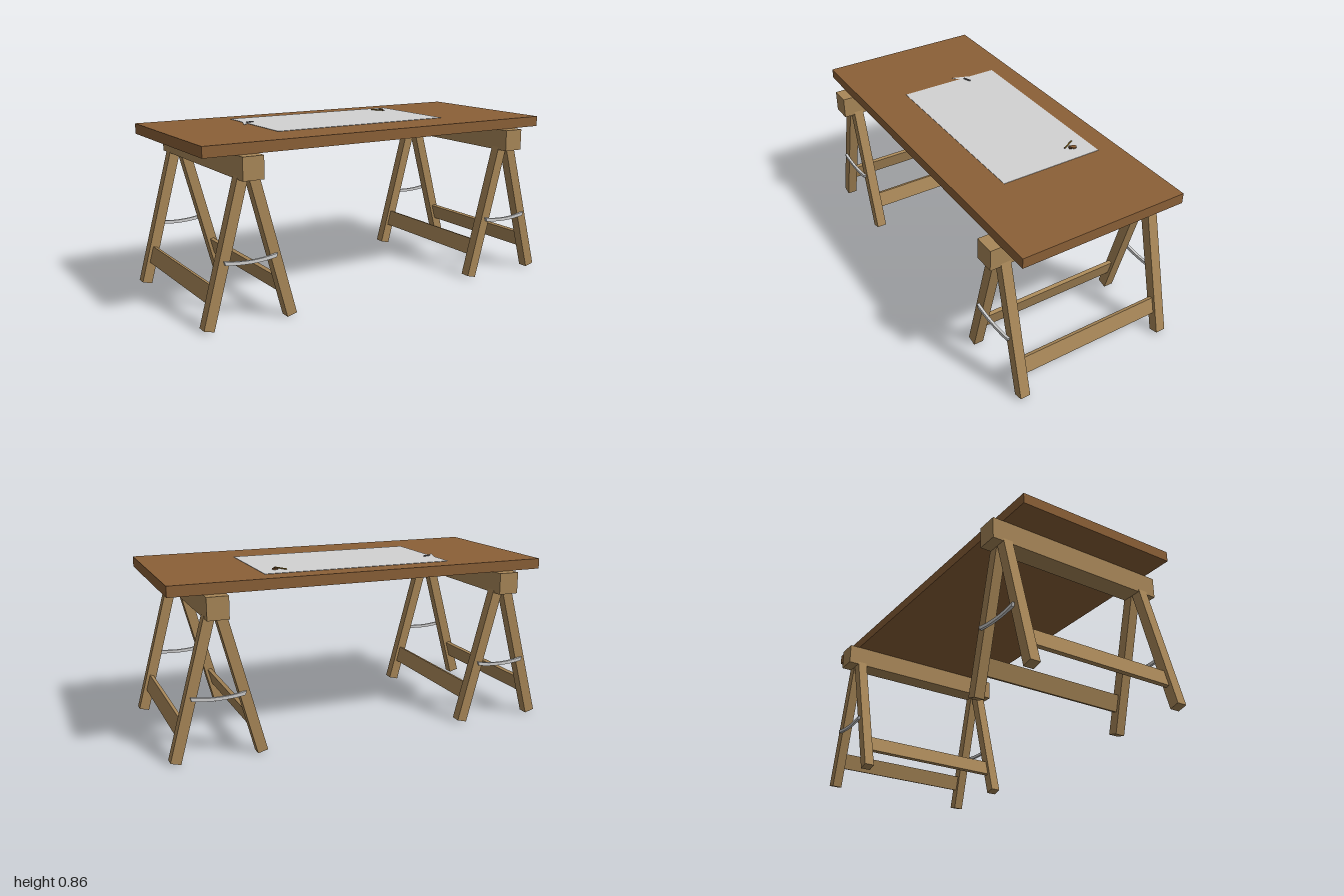
import * as THREE from 'three';

const mat = (name, color) => Object.assign(new THREE.MeshStandardMaterial({ color }), { name });

export function createModel() {
  const M = {
    top: mat('brown wood', 0x8b6037),
    pine: mat('pine wood', 0xa88758),
    paper: mat('paper', 0xd2d2d2),
    metal: mat('light metal', 0xcfcfcf),
    steel: mat('dark grey', 0x6a6a6c),
    pencil: mat('pencil yellow', 0x98762a),
    dark: mat('dark brown', 0x4a3220),
  };
  const model = new THREE.Group();
  model.name = 'trestleTable';

  const add = (parent, name, geometry, material, x = 0, y = 0, z = 0) => {
    const mesh = new THREE.Mesh(geometry, material);
    mesh.name = name;
    mesh.position.set(x, y, z);
    parent.add(mesh);
    return mesh;
  };
  const box = (parent, name, size, material, x, y, z) =>
    add(parent, name, new THREE.BoxGeometry(...size), material, x, y, z);

  // Table top
  box(model, 'tableTop', [1.96, 0.053, 0.874], M.top, 0, 0.8235, 0);

  // Sagging metal strap, arched between two legs
  const strapShape = new THREE.Shape();
  strapShape.moveTo(-0.134, 0.326);
  strapShape.quadraticCurveTo(0, 0.298, 0.134, 0.326);
  strapShape.lineTo(0.128, 0.307);
  strapShape.quadraticCurveTo(0, 0.285, -0.128, 0.307);
  const strapGeo = new THREE.ExtrudeGeometry(strapShape, { depth: 0.013, bevelEnabled: false, curveSegments: 8 });
  strapGeo.translate(0, 0, -0.0065);

  // Trestles: beam, four splayed legs, two rails, two straps
  const tilt = Math.PI / 12;
  const legLength = 0.735;
  for (const sx of [-1, 1]) {
    const trestle = new THREE.Group();
    trestle.name = sx < 0 ? 'rightTrestle' : 'leftTrestle';
    trestle.position.x = sx * 0.763;
    model.add(trestle);
    box(trestle, 'beam', [0.105, 0.109, 0.984], M.pine, 0, 0.7425, 0);

    for (const side of [-1, 1]) {
      const frame = new THREE.Group();
      frame.name = 'legFrame';
      frame.position.set(side * 0.212, 0.007, 0);
      frame.rotation.z = side * tilt;
      trestle.add(frame);
      for (const sz of [-1, 1]) {
        box(frame, 'leg', [0.052, legLength, 0.052], M.pine, 0, legLength / 2, sz * 0.411);
      }
      box(frame, 'rail', [0.02, 0.086, 0.77], M.pine, 0, 0.154, 0);
    }
    for (const sz of [-1, 1]) add(trestle, 'strap', strapGeo, M.metal, 0, 0, sz * 0.4435);
  }

  // Paper sheet with a small torn scrap at its edge
  box(model, 'paperSheet', [0.985, 0.002, 0.545], M.paper, -0.0025, 0.851, -0.0575);
  const scrap = new THREE.Shape([
    [-0.53, 0.09], [-0.512, 0.102], [-0.49, 0.135], [-0.49, 0.2],
  ].map(([x, y]) => new THREE.Vector2(x, y)));
  const scrapGeo = new THREE.ExtrudeGeometry(scrap, { depth: 0.002, bevelEnabled: false });
  scrapGeo.rotateX(-Math.PI / 2);
  add(model, 'paperScrap', scrapGeo, M.paper, 0, 0.85, 0);

  // Small cutter lying on the paper
  const cutter = box(model, 'cutter', [0.045, 0.005, 0.009], M.steel, -0.468, 0.8545, -0.151);
  cutter.rotation.y = 0.36;

  // Pencil with a dark tip
  const pencil = new THREE.Group();
  pencil.name = 'pencil';
  pencil.position.set(0.377, 0.856, -0.23);
  pencil.rotation.y = 0.5;
  model.add(pencil);
  add(pencil, 'pencilBody', new THREE.CylinderGeometry(0.0035, 0.0035, 0.074, 6), M.pencil).rotation.x = Math.PI / 2;
  add(pencil, 'pencilTip', new THREE.ConeGeometry(0.0035, 0.012, 6), M.dark, 0, 0, 0.043).rotation.x = Math.PI / 2;

  // Sharpener and shaving
  add(model, 'shaving', new THREE.CylinderGeometry(0.014, 0.014, 0.006, 12), M.top, 0.41, 0.857, -0.24);
  const sharpener = box(model, 'sharpener', [0.022, 0.006, 0.014], M.dark, 0.403, 0.855, -0.224);
  sharpener.rotation.y = -0.4;

  return model;
}
